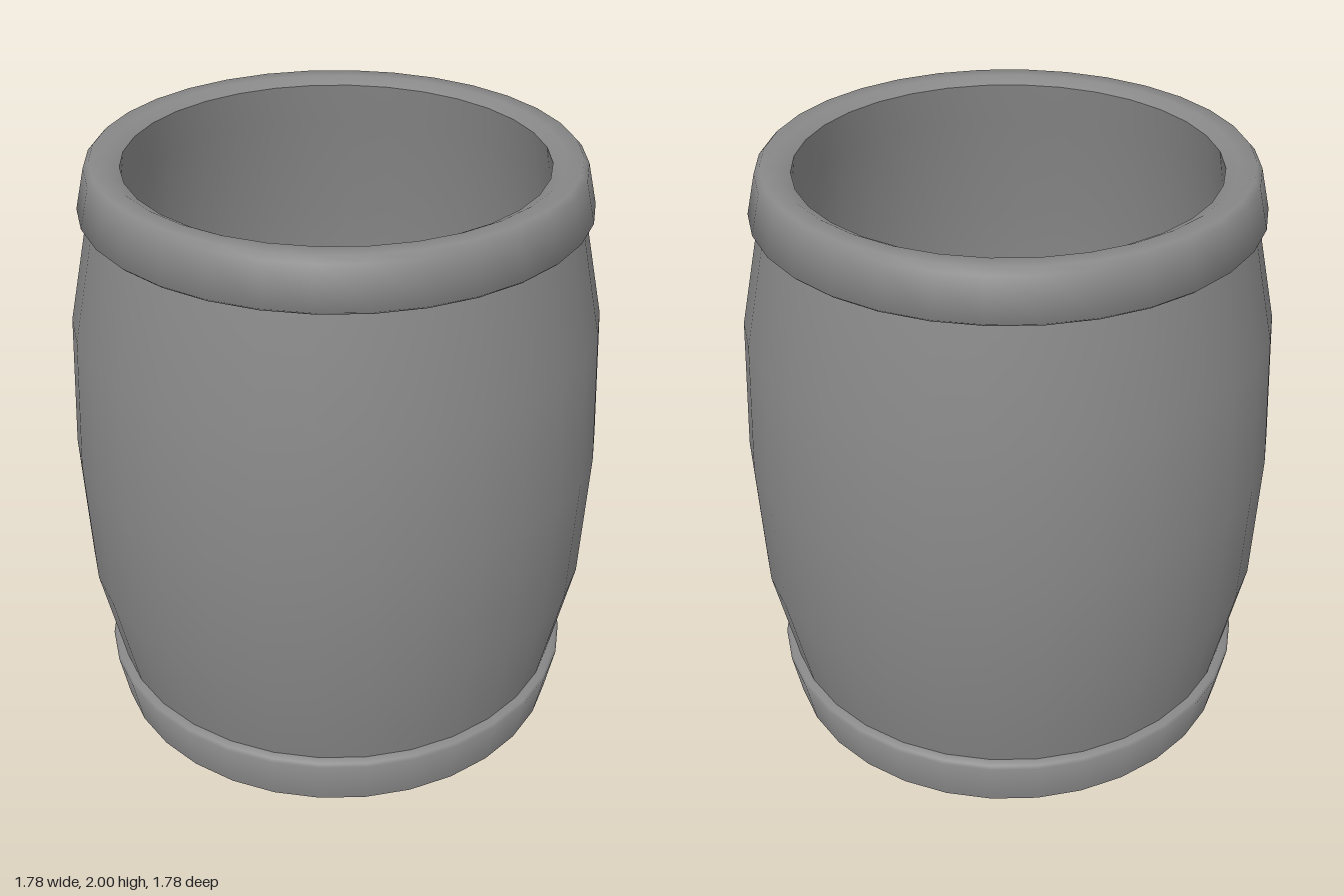
import * as THREE from 'three';
import { toCreasedNormals } from 'three/addons/utils/BufferGeometryUtils.js';

const SIDES = 32;
const material = new THREE.MeshStandardMaterial({ color: 0x888888 });

// Turns a [radius, height] profile around the y axis, keeping sharp edges sharp
function turned(name, profile) {
  const points = profile.map(([r, y]) => new THREE.Vector2(r, y));
  const mesh = new THREE.Mesh(toCreasedNormals(new THREE.LatheGeometry(points, SIDES), 1.2), material);
  mesh.name = name;
  return mesh;
}

export function createModel() {
  const barrel = new THREE.Group();
  barrel.name = 'barrel';

  // Bottom disc and flared base band
  barrel.add(turned('baseBand', [
    [0, 0], [0.79, 0], [0.823, 0.165], [0.815, 0.175], [0.79, 0.18],
  ]));

  // Bulging outer wall
  barrel.add(turned('outerWall', [
    [0.79, 0.18], [0.868, 0.54], [0.889, 1], [0.868, 1.46], [0.79, 1.84],
  ]));

  // Top band with rounded lip
  barrel.add(turned('topBand', [
    [0.79, 1.84], [0.812, 1.836], [0.823, 1.846], [0.793, 1.98],
    [0.775, 2], [0.72, 2], [0.68, 1.978],
  ]));

  // Hollow inside, following the bulge down to the floor
  barrel.add(turned('innerWall', [
    [0.68, 1.978], [0.7, 1.84], [0.765, 1.46], [0.785, 1], [0.765, 0.54], [0.69, 0.12], [0, 0.12],
  ]));

  return barrel;
}
